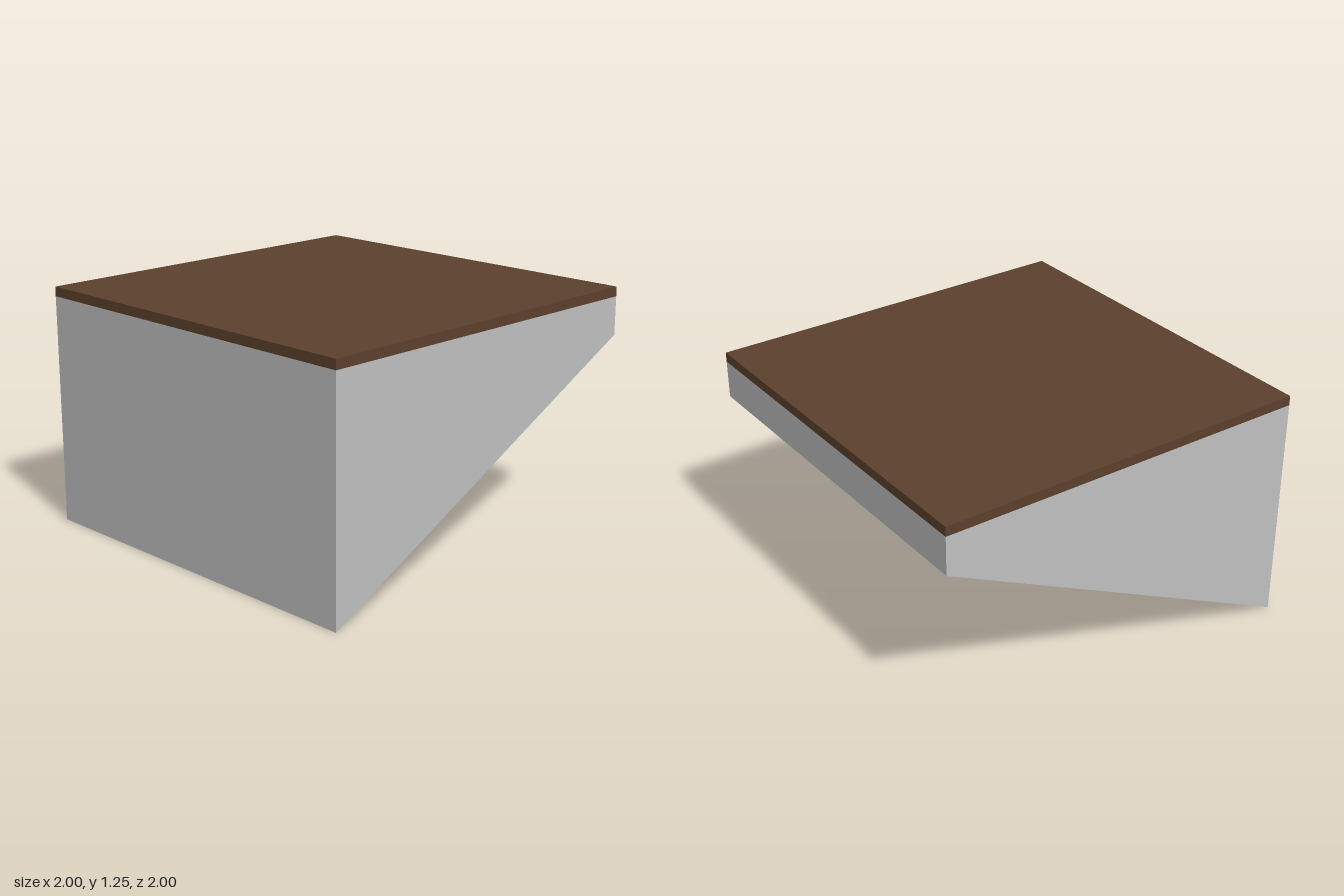
import * as THREE from 'three';

export function createModel() {
  const model = new THREE.Group();
  const stone = new THREE.MeshStandardMaterial({ color: 0xc0c0c0 });
  stone.name = 'light grey stone';
  const wood = new THREE.MeshStandardMaterial({ color: 0x5c402d });
  wood.name = 'dark brown wood';

  // Wedge-shaped support with a sloping underside
  const profile = new THREE.Shape([
    new THREE.Vector2(-1, 0),
    new THREE.Vector2(1, 1),
    new THREE.Vector2(1, 1.2),
    new THREE.Vector2(-1, 1.2),
  ]);
  const wedge = new THREE.ExtrudeGeometry(profile, { depth: 2, bevelEnabled: false });
  wedge.translate(0, 0, -1);
  const support = new THREE.Mesh(wedge, stone);
  support.name = 'wedgeSupport';

  // Thin flat slab covering the support
  const slab = new THREE.Mesh(new THREE.BoxGeometry(2, 0.05, 2), wood);
  slab.name = 'topSlab';
  slab.position.y = 1.225;

  model.add(support, slab);
  return model;
}
